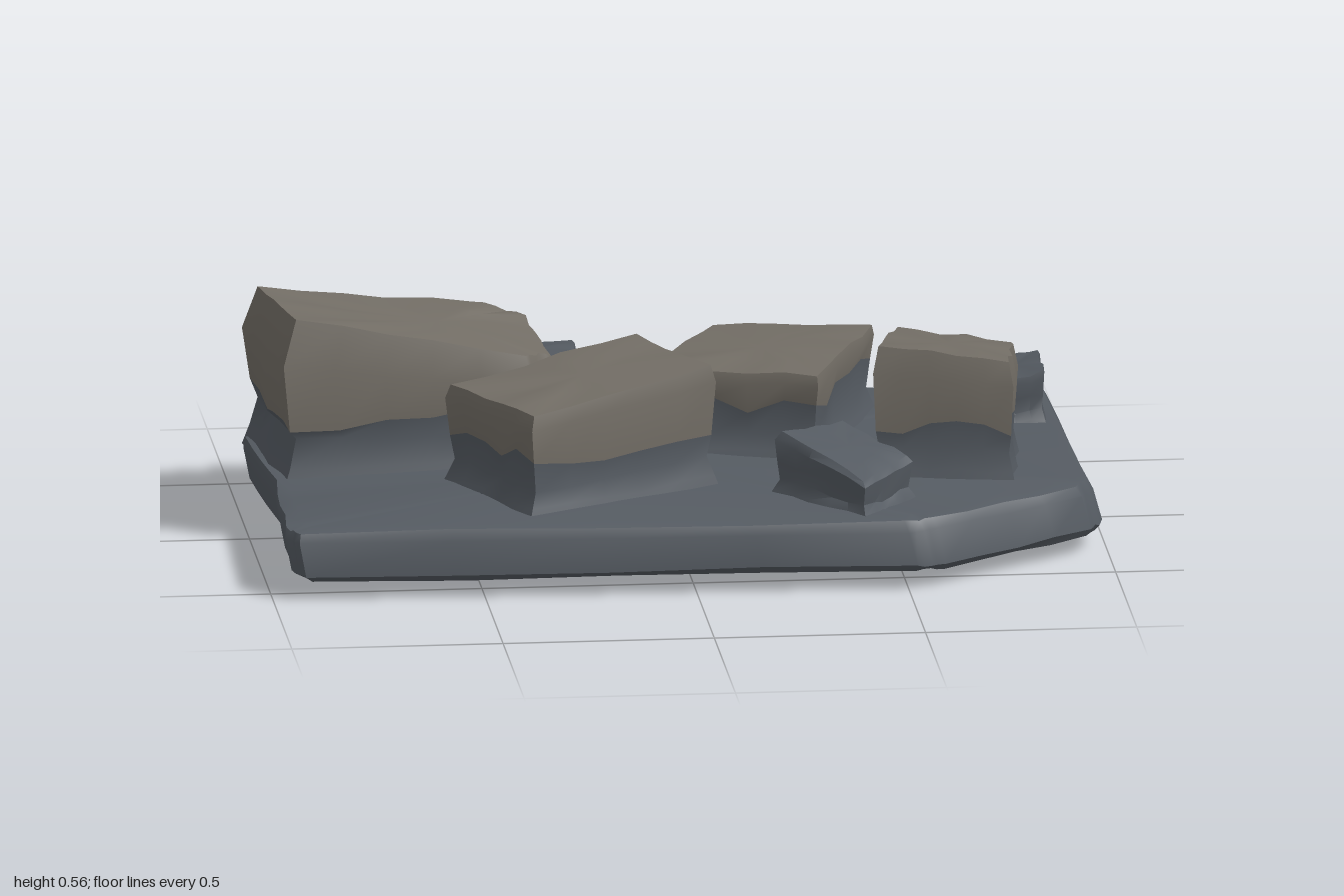
import * as THREE from 'three';
import { toCreasedNormals } from 'three/addons/utils/BufferGeometryUtils.js';

const dark = new THREE.MeshStandardMaterial({ color: 0x555b62, roughness: 1 });
const brown = new THREE.MeshStandardMaterial({ color: 0x736e66, roughness: 1 });

let seed = 7;
const jitter = (amount) => {
  seed = (seed * 16807) % 2147483647;
  return (seed / 2147483647 - 0.5) * 2 * amount;
};

const centroid = (ring) =>
  ring.reduce((sum, p) => sum.add(p), new THREE.Vector3()).divideScalar(ring.length);

// Skin a stack of closed rings, bottom to top, with optional fan caps.
function loft(name, material, rings, { top = false, bottom = false } = {}) {
  const pos = [];
  const tri = (...pts) => pts.forEach((p) => pos.push(p.x, p.y, p.z));
  const n = rings[0].length;
  const first = rings[0], last = rings[rings.length - 1];
  const lowMid = centroid(first), highMid = centroid(last);
  for (let i = 0; i < n; i++) {
    const j = (i + 1) % n;
    for (let k = 0; k < rings.length - 1; k++) {
      const a = rings[k], b = rings[k + 1];
      tri(a[i], b[i], a[j]);
      tri(b[i], b[j], a[j]);
    }
    if (top) tri(highMid, last[j], last[i]);
    if (bottom) tri(lowMid, first[i], first[j]);
  }
  const geometry = new THREE.BufferGeometry();
  geometry.setAttribute('position', new THREE.Float32BufferAttribute(pos, 3));
  const mesh = new THREE.Mesh(toCreasedNormals(geometry, 0.65), material);
  mesh.name = name;
  return mesh;
}

// Turn [x, z, y] corners into a ring with extra points along each edge.
function outline(corners, steps, rough) {
  const pts = [];
  corners.forEach((c, i) => {
    const d = corners[(i + 1) % corners.length];
    for (let s = 0; s < steps; s++) {
      const t = s / steps, r = s ? rough : 0;
      pts.push(new THREE.Vector3(
        c[0] + (d[0] - c[0]) * t + jitter(r),
        c[2] + (d[2] - c[2]) * t + jitter(r),
        c[1] + (d[1] - c[1]) * t + jitter(r)));
    }
  });
  return pts;
}

const GROUND = 0.165;

// A stone with a scooped dark foot and a weathered, overhanging cap.
function stone({ name, corners, foot = 1.05, waist = 0.93, rim = 0.96, shoulder = 0.86, capped = true }) {
  const group = new THREE.Group();
  group.name = name;
  const edge = outline(corners, 5, 0.006);
  const mid = centroid(edge);
  const ring = (scale, height, rough = 0) => edge.map((p) => new THREE.Vector3(
    mid.x + (p.x - mid.x) * scale,
    height(p.y) + jitter(rough),
    mid.z + (p.z - mid.z) * scale));
  const part = (f) => (y) => GROUND + (y - GROUND) * f;

  const base = ring(foot, () => GROUND - 0.02);
  const toe = ring((foot + waist) / 2, part(0.08), 0.006);
  const neck = ring(waist, part(0.25), 0.008);
  const seam = ring((1 + waist) / 2, capped ? () => 0.295 : part(0.55), capped ? 0.022 : 0.008);
  const brow = ring(1, part(shoulder));
  const lip = ring(rim, (y) => y);
  const inner = ring(0.5, (y) => y * 0.5 + mid.y * 0.5 + 0.003, 0.003);
  if (capped) {
    group.add(loft(name + 'Foot', dark, [base, toe, neck, seam]));
    group.add(loft(name + 'Cap', brown, [seam, brow, lip, inner], { top: true }));
  } else {
    group.add(loft(name + 'Body', dark, [base, toe, neck, seam, brow, lip, inner], { top: true }));
  }
  return group;
}

// Base slab: the same outline at several levels, chipped along its edges.
function slab() {
  const shape = [
    [-0.93, -0.59], [0.92, -0.635], [0.96, -0.61], [0.985, 0.26],
    [0.95, 0.34], [0.58, 0.6], [0.51, 0.625], [-0.94, 0.58],
    [-0.97, 0.53], [-0.95, 0.1], [-0.985, -0.32], [-0.93, -0.36],
  ];
  const edge = outline(shape.map(([x, z]) => [x, z, 0]), 4, 0.004);
  const level = (y, inset, lean) => edge.map((p) => new THREE.Vector3(
    p.x * (1 - inset) + lean, y + jitter(0.004), p.z * (1 - inset * 1.5)));
  return loft('baseSlab', dark, [
    level(0.042, 0.025, 0.022), level(0.06, 0.005, 0.012), level(0.14, 0.008, -0.006),
    level(0.165, 0.018, -0.012), level(0.17, 0.05, -0.01),
  ], { top: true, bottom: true });
}

// Shallow lump hanging below the slab; corners give its lowest face.
function underLump(name, corners) {
  const low = outline(corners, 2, 0);
  const mid = centroid(low);
  const high = low.map((p) => new THREE.Vector3(
    mid.x + (p.x - mid.x) * 1.25, 0.055, mid.z + (p.z - mid.z) * 1.25));
  return loft(name, dark, [low, high], { bottom: true });
}

export function createModel() {
  seed = 7;
  const model = new THREE.Group();
  model.name = 'rockyPlatform';
  model.add(slab());

  // Corners run back left, back right, front right, front left in plan: [x, z, top height].
  const stones = [
    { name: 'largeStone', foot: 1.0, waist: 0.92, rim: 0.92, shoulder: 0.72,
      corners: [[-0.985, -0.33, 0.53], [-0.42, -0.445, 0.45], [-0.29, -0.38, 0.43],
        [-0.26, -0.04, 0.415], [-0.33, 0.02, 0.43], [-0.93, 0.11, 0.555]] },
    { name: 'middleStone',
      corners: [[-0.55, 0.13, 0.4], [-0.07, -0.09, 0.455], [0.08, 0.24, 0.46], [-0.38, 0.49, 0.41]] },
    { name: 'flatStone', rim: 0.98, shoulder: 0.88,
      corners: [[0.15, -0.55, 0.345], [0.52, -0.42, 0.37], [0.34, 0.06, 0.375], [-0.06, -0.1, 0.37]] },
    { name: 'sideStone', rim: 0.93, shoulder: 0.8,
      corners: [[0.54, -0.15, 0.44], [0.82, -0.05, 0.42], [0.78, 0.28, 0.455], [0.455, 0.21, 0.485]] },
    { name: 'backSmallStone', capped: false, foot: 1.12,
      corners: [[-0.41, -0.56, 0.31], [-0.18, -0.54, 0.32], [-0.19, -0.25, 0.35], [-0.37, -0.27, 0.35]] },
    { name: 'frontSmallStone', capped: false, foot: 1.12, rim: 0.9,
      corners: [[0.21, 0.33, 0.32], [0.38, 0.22, 0.315], [0.53, 0.4, 0.27], [0.4, 0.57, 0.25]] },
    { name: 'edgeSmallStone', capped: false, foot: 1.15, rim: 0.97,
      corners: [[0.8, -0.435, 0.265], [0.91, -0.43, 0.295], [0.905, -0.245, 0.295], [0.75, -0.25, 0.25]] },
  ];
  stones.forEach((s) => model.add(stone(s)));

  model.add(underLump('underLumpRight',
    [[-0.46, -0.25, 0.022], [-0.36, -0.24, 0.012], [-0.33, 0.01, 0], [-0.4, 0.02, 0.008]]));
  model.add(underLump('underLumpLeft',
    [[0.12, -0.43, 0.018], [0.33, -0.42, 0.026], [0.33, -0.16, 0.028], [0.14, -0.14, 0.022]]));
  return model;
}
